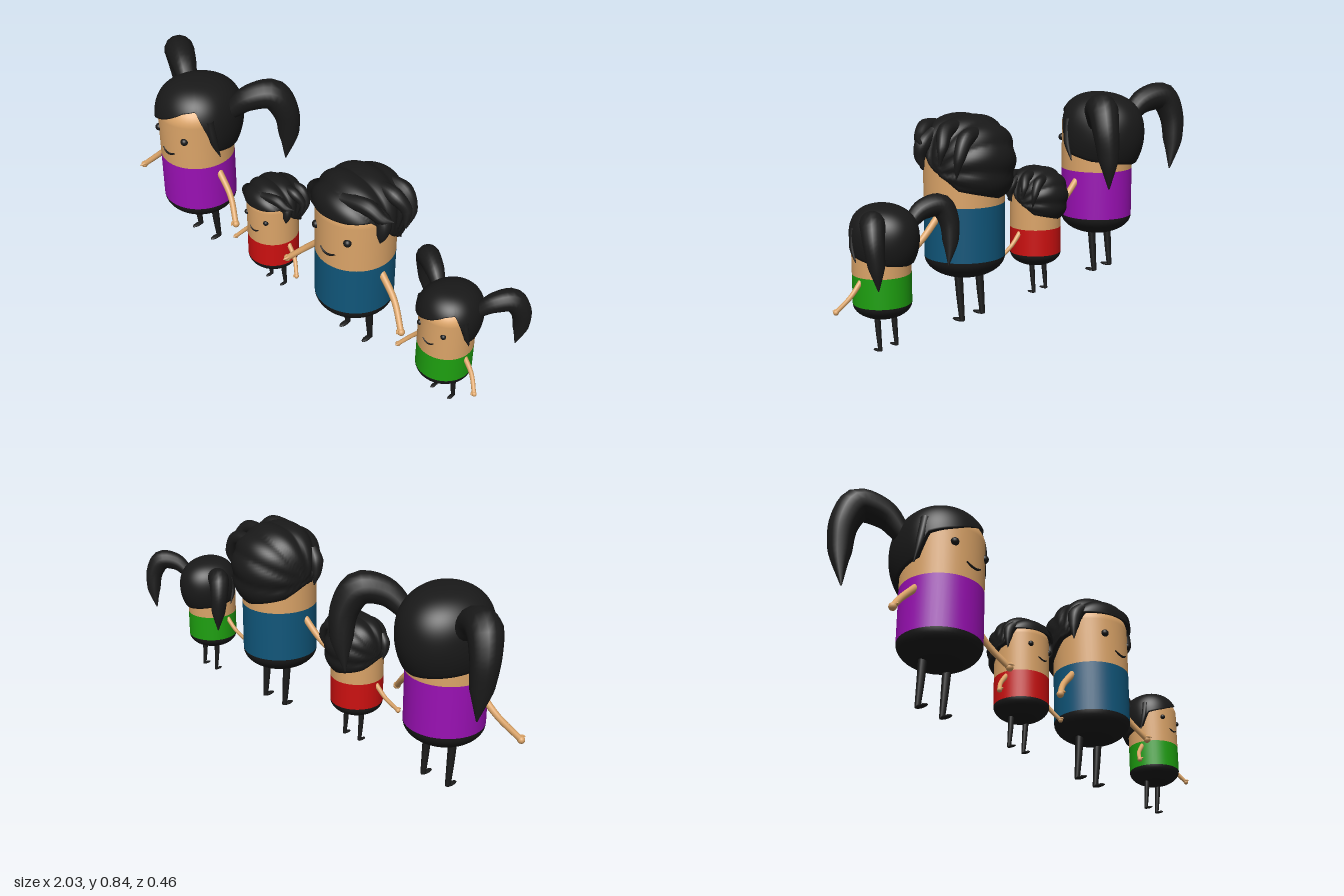
import * as THREE from 'three';

const V = (x, y, z) => new THREE.Vector3(x, y, z);
const mat = (color) => new THREE.MeshStandardMaterial({ color, roughness: 0.8, side: THREE.DoubleSide });
const dark = mat(0x191919);
const skin = mat(0xdba468);
const R = 0.158; // body radius

function add(parent, name, geometry, material) {
  const mesh = new THREE.Mesh(geometry, material);
  mesh.name = name;
  parent.add(mesh);
  return mesh;
}

// Linear lookup in a list of [position, value] pairs
function lookup(pairs, p) {
  let i = 1;
  while (i < pairs.length - 1 && p > pairs[i][0]) i++;
  const [p0, v0] = pairs[i - 1], [p1, v1] = pairs[i];
  return v0 + (v1 - v0) * THREE.MathUtils.clamp((p - p0) / (p1 - p0), 0, 1);
}

// Tube through points, with its own radius at each point
function taperTube(points, radii, segments = 28, sides = 14) {
  const curve = new THREE.CatmullRomCurve3(points.map((p) => V(...p)));
  const geo = new THREE.TubeGeometry(curve, segments, 1, sides);
  const pos = geo.attributes.position, v = V(0, 0, 0);
  const table = radii.map((r, i) => [i / (radii.length - 1), r]);
  for (let i = 0; i <= segments; i++) {
    const c = curve.getPointAt(i / segments);
    const r = lookup(table, curve.getUtoTmapping(i / segments));
    for (let j = 0; j <= sides; j++) {
      const k = i * (sides + 1) + j;
      v.fromBufferAttribute(pos, k).sub(c).multiplyScalar(r).add(c);
      pos.setXYZ(k, v.x, v.y, v.z);
    }
  }
  return geo;
}

// Hair shell from crown to a hairline given as [degrees from front, height]
function hairCap({ line, top, front, back, side, ridges }) {
  const cols = 120, rows = 32, mid = 0.63, pos = [], index = [];
  for (let j = 0; j <= rows + 1; j++) {
    for (let i = 0; i < cols; i++) {
      const a = (i / cols) * 2 * Math.PI - Math.PI;
      const low = lookup(line, THREE.MathUtils.radToDeg(a));
      const v = Math.min(j / rows, 1);
      const y = top - (top - low) * (1 - Math.cos(v * Math.PI / 2));
      let f = y > mid
        ? Math.pow(Math.max(0, 1 - Math.pow((y - mid) / (top - mid), 2.4)), 1 / 2.4)
        : 1 - 0.16 * ((mid - y) / 0.13) ** 2;
      let x = Math.sin(a) * side * f;
      let z = Math.cos(a) * (Math.cos(a) > 0 ? front : back) * f;
      let yy = y;
      if (ridges) {
        // Rolls of hair running from side to side
        const g = 0.97 + 0.05 * Math.abs(Math.sin(ridges * Math.atan2(y - 0.6, z) + x * 4));
        x *= g; z *= g; yy = 0.6 + (y - 0.6) * (y > 0.7 ? g : 1);
      }
      if (j > rows) { x = Math.sin(a) * 0.13; z = Math.cos(a) * 0.13; yy = low + 0.01; }
      pos.push(x, yy, z);
      if (j <= rows) {
        const n = (i + 1) % cols;
        const p = j * cols + i, q = j * cols + n;
        index.push(p, p + cols, q, p + cols, q + cols, q);
      }
    }
  }
  const geo = new THREE.BufferGeometry();
  geo.setAttribute('position', new THREE.Float32BufferAttribute(pos, 3));
  geo.setIndex(index);
  geo.computeVertexNormals();
  return geo;
}

// Smooth swept fringe with two ponytails
function longHair(head) {
  add(head, 'hair', hairCap({
    line: [[-180, 0.5], [-110, 0.52], [-78, 0.54], [-64, 0.63], [-30, 0.655], [0, 0.69], [30, 0.735],
      [50, 0.745], [62, 0.66], [76, 0.55], [110, 0.52], [180, 0.5]],
    top: 0.81, front: 0.168, back: 0.222, side: 0.18,
  }), dark);
  for (const s of [-1, 1]) {
    const k = s > 0 ? 1 : 0.72, e = s > 0 ? 0 : 0.025;
    add(head, 'ponytail', taperTube([
      [s * 0.13, 0.68, -0.08], [s * 0.2, 0.755, -0.07 - 0.06 * k], [s * (0.265 + e), 0.77, -0.07 - 0.13 * k],
      [s * (0.3 + e), 0.69, -0.07 - 0.17 * k], [s * (0.3 + e), 0.57, -0.07 - 0.185 * k],
      [s * (0.285 + e), 0.44, -0.07 - 0.18 * k],
    ], [0.035, 0.055, 0.066, 0.056, 0.044, 0.003]), dark);
    // Loose strand beside the face
    add(head, 'strand', taperTube([
      [s * 0.15, 0.7, 0.05], [s * 0.168, 0.6, 0.045], [s * 0.172, 0.52, 0.02],
    ], [0.02, 0.016, 0.002]), dark);
  }
}

// Rolled short hair with tufts on its left side
function shortHair(head) {
  add(head, 'hair', hairCap({
    line: [[-180, 0.5], [-120, 0.54], [-98, 0.59], [-82, 0.6], [-72, 0.69], [0, 0.695], [60, 0.705],
      [74, 0.67], [90, 0.62], [120, 0.54], [180, 0.5]],
    top: 0.81, front: 0.174, back: 0.208, side: 0.183, ridges: 6,
  }), dark);
  const tufts = [
    [[0.02, 0.76, 0.1], [0.13, 0.765, 0.08], [0.185, 0.73, 0.06], [0.212, 0.715, 0.03]],
    [[0.12, 0.75, 0.05], [0.18, 0.71, 0.05], [0.185, 0.66, 0.06], [0.172, 0.61, 0.055]],
    [[0.05, 0.77, -0.04], [0.15, 0.765, -0.04], [0.195, 0.71, -0.06], [0.2, 0.64, -0.05]],
    [[0.03, 0.75, -0.11], [0.13, 0.74, -0.12], [0.17, 0.67, -0.12], [0.165, 0.59, -0.1]],
    [[-0.14, 0.72, 0.06], [-0.172, 0.68, 0.05], [-0.178, 0.63, 0.045], [-0.172, 0.575, 0.04]],
  ];
  for (const t of tufts) add(head, 'tuft', taperTube(t, [0.025, 0.032, 0.022, 0.002]), dark);
}

function person({ name, x, scale, color, shirtTop, headDrop, armTop, hand, hair }) {
  const g = new THREE.Group();
  g.name = name;
  g.position.set(x, 0, 0.067);
  g.scale.setScalar(scale);

  // Rounded trousers, shirt band and domed head
  const bowl = [], dome = [new THREE.Vector2(R, shirtTop)];
  for (let i = 0; i <= 14; i++) {
    const a = (i / 14) * Math.PI / 2;
    bowl.push(new THREE.Vector2(R * Math.sin(a), 0.257 - 0.087 * Math.cos(a)));
    dome.push(new THREE.Vector2(R * Math.cos(a), 0.67 - headDrop + 0.11 * Math.sin(a)));
  }
  add(g, 'trousers', new THREE.LatheGeometry(bowl, 48), dark);
  add(g, 'shirt', new THREE.CylinderGeometry(R, R, shirtTop - 0.257, 48, 1, true), mat(color))
    .position.y = (shirtTop + 0.257) / 2;
  add(g, 'headSkin', new THREE.LatheGeometry(dome, 48), skin);

  const head = new THREE.Group();
  head.name = 'head';
  head.position.y = -headDrop;
  g.add(head);
  hair(head);

  // Smile bent around the face
  const smile = [-2, -1, 0, 1, 2].map((i) => {
    const sx = i * 0.019;
    return [sx, 0.521 + 0.0035 * i * i, Math.sqrt(R * R - sx * sx)];
  });
  add(head, 'mouth', taperTube(smile, [0.003, 0.005, 0.005, 0.005, 0.003], 16, 8), dark);

  for (const s of [-1, 1]) {
    add(head, 'eye', new THREE.SphereGeometry(0.016, 20, 14), dark).position.set(s * 0.082, 0.604, 0.134);

    // Arm with a small hand and thumb
    const [hx, hy] = hand;
    add(g, 'arm', taperTube([
      [s * 0.14, armTop + 0.015, 0.01], [s * (0.15 + hx) / 2, (armTop + hy) / 2 + 0.005, 0.025], [s * hx, hy, 0.07],
    ], [0.015, 0.013, 0.012], 20, 12), skin);
    add(g, 'hand', new THREE.SphereGeometry(0.015, 14, 10), skin).position.set(s * hx, hy, 0.07);
    add(g, 'thumb', taperTube([
      [s * (hx - 0.01), hy + 0.01, 0.07], [s * (hx - 0.006), hy + 0.008, 0.085], [s * hx, hy + 0.004, 0.094],
    ], [0.007, 0.006, 0.002], 8, 8), skin);

    // Leg and pointed foot
    add(g, 'leg', taperTube([
      [s * 0.063, 0.22, -0.017], [s * 0.063, 0.1, -0.026], [s * 0.063, 0.006, -0.035],
    ], [0.018, 0.015, 0.011], 12, 12), dark);
    const foot = add(g, 'foot', new THREE.SphereGeometry(1, 16, 10), dark);
    foot.scale.set(0.012, 0.007, 0.03);
    foot.position.set(s * 0.063, 0.007, -0.017);
  }
  return g;
}

export function createModel() {
  const model = new THREE.Group();
  model.name = 'family';
  const adult = { scale: 1, shirtTop: 0.47, headDrop: 0, armTop: 0.42, hand: [0.31, 0.265] };
  const child = { scale: 0.68, shirtTop: 0.42, headDrop: 0.018, armTop: 0.39, hand: [0.275, 0.25] };
  model.add(
    person({ ...adult, name: 'mother', x: -0.63, color: 0x9a10b4, hair: longHair }),
    person({ ...child, name: 'son', x: -0.163, color: 0xcc1010, hair: shortHair }),
    person({ ...adult, name: 'father', x: 0.305, color: 0x10567a, hair: shortHair }),
    person({ ...child, name: 'daughter', x: 0.773, color: 0x1ea010, hair: longHair }),
  );
  return model;
}
